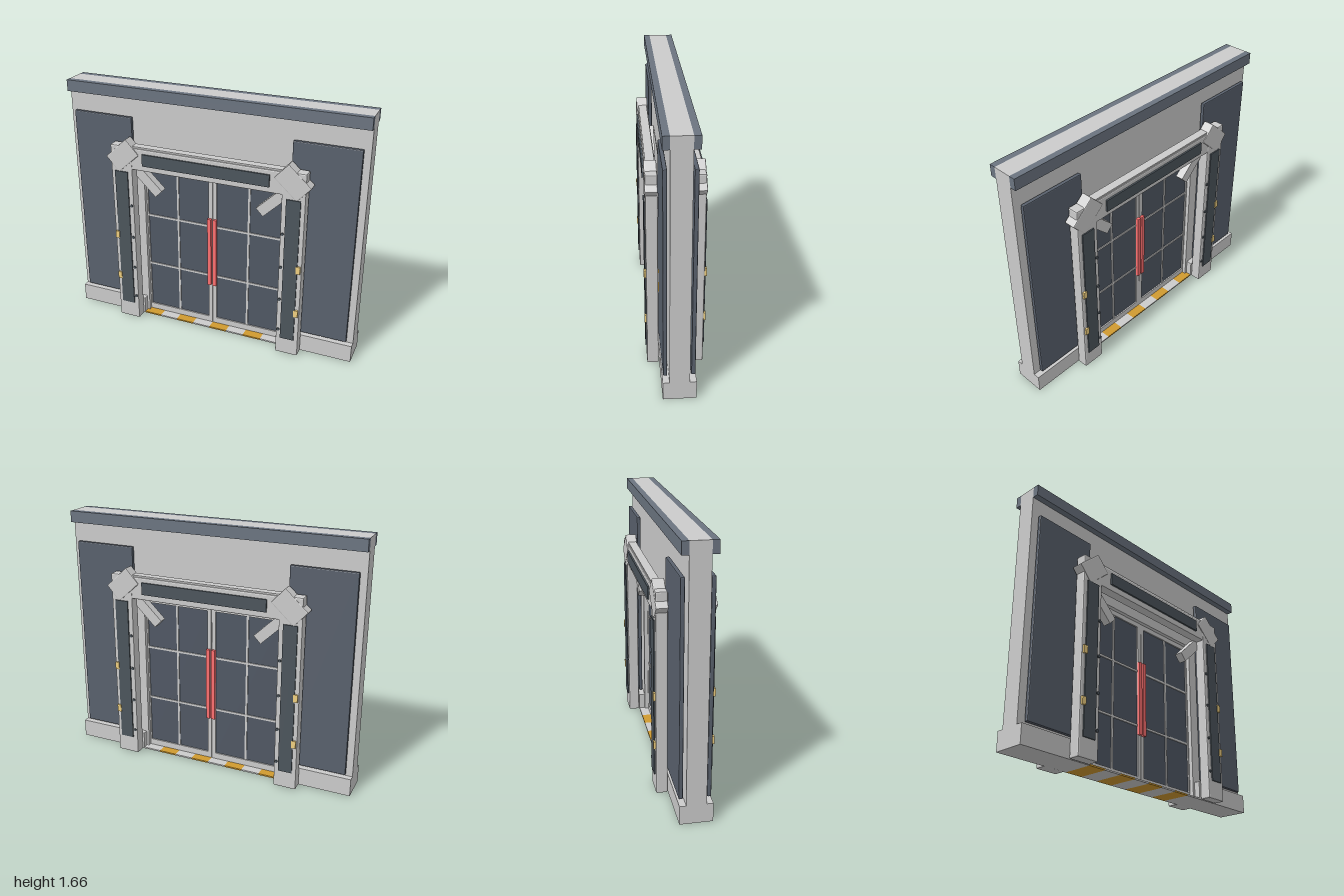
import * as THREE from 'three';
import { RoundedBoxGeometry } from 'three/addons/geometries/RoundedBoxGeometry.js';

const mat = (color) => new THREE.MeshStandardMaterial({ color, flatShading: true });

export function createModel() {
  const grey = mat(0xcccccc), trim = mat(0x6b7480), panel = mat(0x59616d),
    inset = mat(0x4c555c), glass = mat(0x505864), red = mat(0xff7070),
    gold = mat(0xf0d080), hazard = mat(0xd09a30);
  const model = new THREE.Group();
  model.name = 'doorWall';

  // Box given by its extents on each axis; a bevel makes the edges chamfered
  function box(parent, name, material, [x0, x1], [y0, y1], [z0, z1], bevel = 0) {
    const size = [x1 - x0, y1 - y0, z1 - z0];
    const geometry = bevel
      ? new RoundedBoxGeometry(...size, 1, bevel)
      : new THREE.BoxGeometry(...size);
    const mesh = new THREE.Mesh(geometry, material);
    mesh.name = name;
    mesh.position.set((x0 + x1) / 2, (y0 + y1) / 2, (z0 + z1) / 2);
    parent.add(mesh);
    return mesh;
  }
  // Same extents mirrored to the side s = -1 or 1
  const side = (s, a, b) => (s > 0 ? [a, b] : [-b, -a]);

  // Wall around the opening
  for (const s of [-1, 1]) box(model, 'wallSide', grey, side(s, 0.5, 1), [0, 1.665], [-0.06, 0.06]);
  box(model, 'wallHeader', grey, [-0.5, 0.5], [1.14, 1.665], [-0.06, 0.06]);

  // Threshold of alternating hazard stripes
  for (let i = 0; i < 8; i++) {
    const x = -0.5 + i * 0.125;
    box(model, 'thresholdStripe', i % 2 ? grey : hazard, [x, x + 0.125], [0, 0.01], [-0.1, 0.1]);
  }

  // Door frame lining the opening
  for (const s of [-1, 1]) box(model, 'doorJamb', grey, side(s, 0.483, 0.505), [0.01, 1.14], [-0.062, 0.062]);
  box(model, 'doorHead', grey, [-0.483, 0.483], [1.115, 1.142], [-0.062, 0.062]);

  // Two glazed door leaves
  for (const s of [-1, 1]) {
    const leaf = new THREE.Group();
    leaf.name = 'doorLeaf';
    model.add(leaf);
    const depth = [-0.036, 0.036], bar = [-0.033, 0.033];
    box(leaf, 'innerStile', grey, side(s, 0.002, 0.028), [0.01, 1.115], depth);
    box(leaf, 'outerStile', grey, side(s, 0.474, 0.483), [0.01, 1.115], depth);
    box(leaf, 'bottomRail', grey, side(s, 0.028, 0.474), [0.01, 0.052], depth);
    box(leaf, 'topRail', grey, side(s, 0.028, 0.474), [1.083, 1.115], depth);
    box(leaf, 'glass', glass, side(s, 0.028, 0.474), [0.052, 1.083], [-0.027, 0.027]);
    box(leaf, 'verticalBar', grey, side(s, 0.245, 0.259), [0.052, 1.083], bar);
    for (const y of [0.385, 0.76])
      box(leaf, 'horizontalBar', grey, side(s, 0.028, 0.474), [y - 0.007, y + 0.007], bar);
    for (const z of [-1, 1])
      box(leaf, 'handle', red, side(s, 0.006, 0.031), [0.32, 0.82], side(z, 0.036, 0.055));
  }

  // Surround, built for the front and turned round for the back
  function createFace() {
    const face = new THREE.Group();
    box(face, 'capRail', trim, [-1, 1], [1.59, 1.665], [0.06, 0.1]);

    // Lintel between the pillars
    box(face, 'lintel', grey, [-0.52, 0.52], [1.14, 1.29], [0.105, 0.172], 0.008);
    box(face, 'lintelTrim', grey, [-0.52, 0.52], [1.285, 1.3], [0.11, 0.165]);
    box(face, 'lintelPanel', inset, [-0.43, 0.43], [1.18, 1.26], [0.165, 0.183]);

    for (const s of [-1, 1]) {
      box(face, 'basePlinth', grey, side(s, 0.5, 1), [0, 0.12], [0.06, 0.1]);
      box(face, 'wallPanel', panel, side(s, 0.54, 0.96), [0.14, 1.465], [0.071, 0.096], 0.006);

      // Pillar with its inset panel
      box(face, 'pillar', grey, side(s, 0.508, 0.66), [0, 1.297], [0.103, 0.175], 0.008);
      box(face, 'pillarPanel', inset, side(s, 0.54, 0.632), [0.12, 1.12], [0.165, 0.183]);

      // Tilted corner block
      const block = box(face, 'cornerBlock', grey, [-0.1, 0.1], [-0.067, 0.067], [0.104, 0.178], 0.006);
      block.position.x = s * 0.575;
      block.position.y = 1.228;
      block.rotation.z = -s * 0.74;

      // Diagonal brace under the lintel
      const brace = box(face, 'brace', grey, [-0.115, 0.115], [-0.034, 0.034], [0.064, 0.118]);
      brace.position.x = s * 0.433;
      brace.position.y = 1.05;
      brace.rotation.z = s * 0.77;

      for (const y of [0.33, 0.65])
        box(face, 'clip', gold, side(s, 0.624, 0.652), [y - 0.025, y + 0.025], [0.165, 0.188]);

      for (const y of [0.18, 0.41, 0.645, 0.88]) {
        const bolt = new THREE.Mesh(new THREE.CylinderGeometry(0.01, 0.01, 0.02, 8), inset);
        bolt.name = 'bolt';
        bolt.rotation.x = Math.PI / 2;
        bolt.position.set(s * 0.524, y, 0.172);
        face.add(bolt);
      }
    }
    return face;
  }
  const front = createFace();
  front.name = 'frontSurround';
  const back = createFace();
  back.name = 'backSurround';
  back.rotation.y = Math.PI;
  model.add(front, back);
  return model;
}
